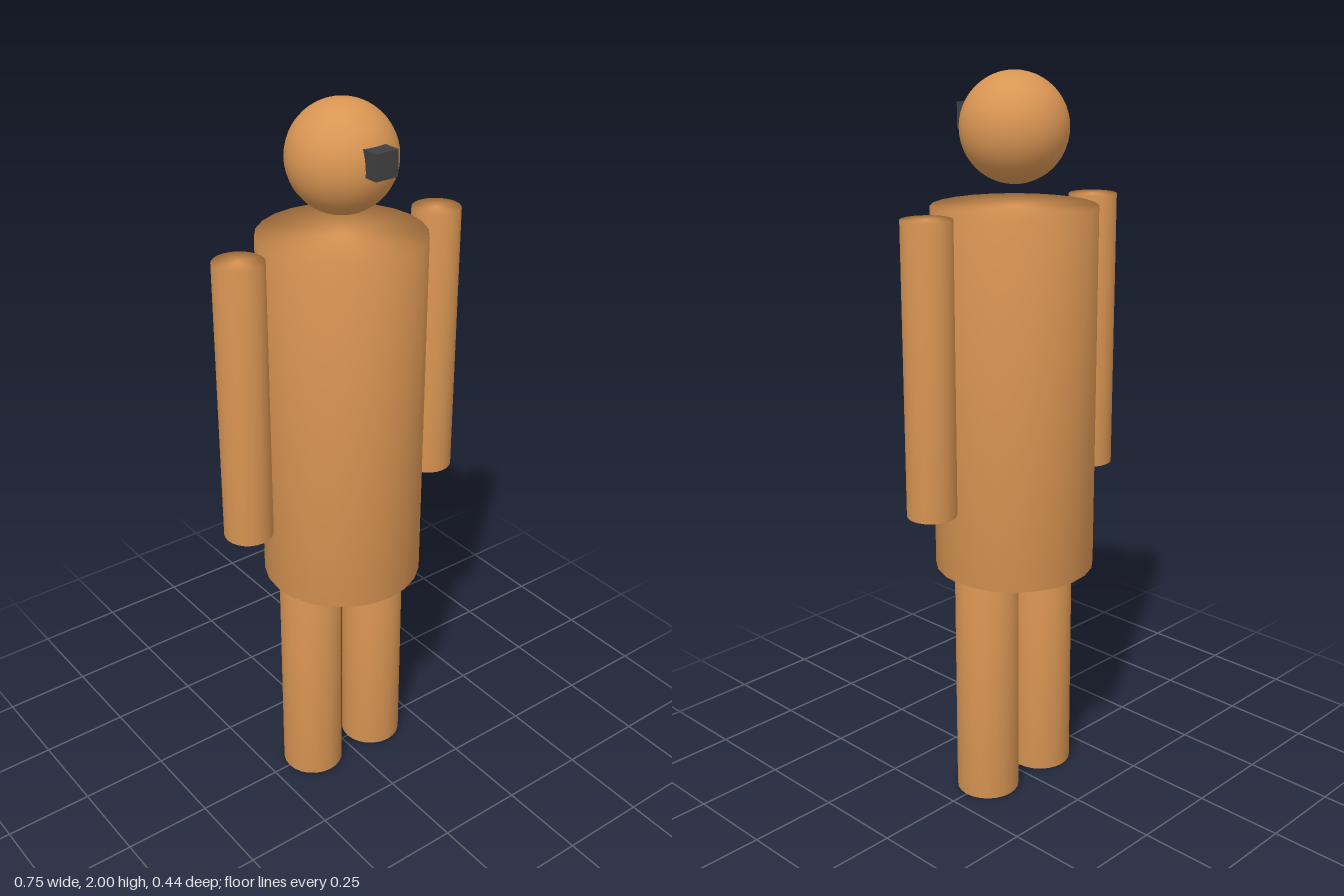
import * as THREE from 'three';
import { mergeVertices } from 'three/addons/utils/BufferGeometryUtils.js';

// Weld the rims so shading runs softly over the caps
function smooth(geometry) {
  geometry.deleteAttribute('normal');
  geometry.deleteAttribute('uv');
  const welded = mergeVertices(geometry, 1e-4);
  welded.computeVertexNormals();
  return welded;
}

export function createModel() {
  const model = new THREE.Group();
  model.name = 'figure';

  const skin = new THREE.MeshStandardMaterial({ color: 0xd99553 });
  skin.name = 'tan';
  const dark = new THREE.MeshStandardMaterial({ color: 0x404040 });
  dark.name = 'charcoal';

  function add(name, geometry, material, x, y, z) {
    const mesh = new THREE.Mesh(geometry, material);
    mesh.name = name;
    mesh.position.set(x, y, z);
    model.add(mesh);
  }

  // Upright cylinder between two heights
  function column(name, radius, bottom, top, x) {
    const geometry = smooth(new THREE.CylinderGeometry(radius, radius, top - bottom, 24));
    add(name, geometry, skin, x, (bottom + top) / 2, 0);
  }

  column('torso', 0.22, 0.665, 1.66, 0);

  // Paired limbs
  for (const [side, s] of [['left', 1], ['right', -1]]) {
    column(side + 'Arm', 0.066, 0.888, 1.66, s * 0.31);
    column(side + 'Leg', 0.088, 0, 0.665, s * 0.11);
  }

  // Floating head with a small block on its face
  add('head', new THREE.SphereGeometry(0.142, 32, 24), skin, 0, 1.858, 0);
  add('faceBlock', new THREE.BoxGeometry(0.067, 0.067, 0.067), dark, 0, 1.88, 0.142);

  return model;
}
